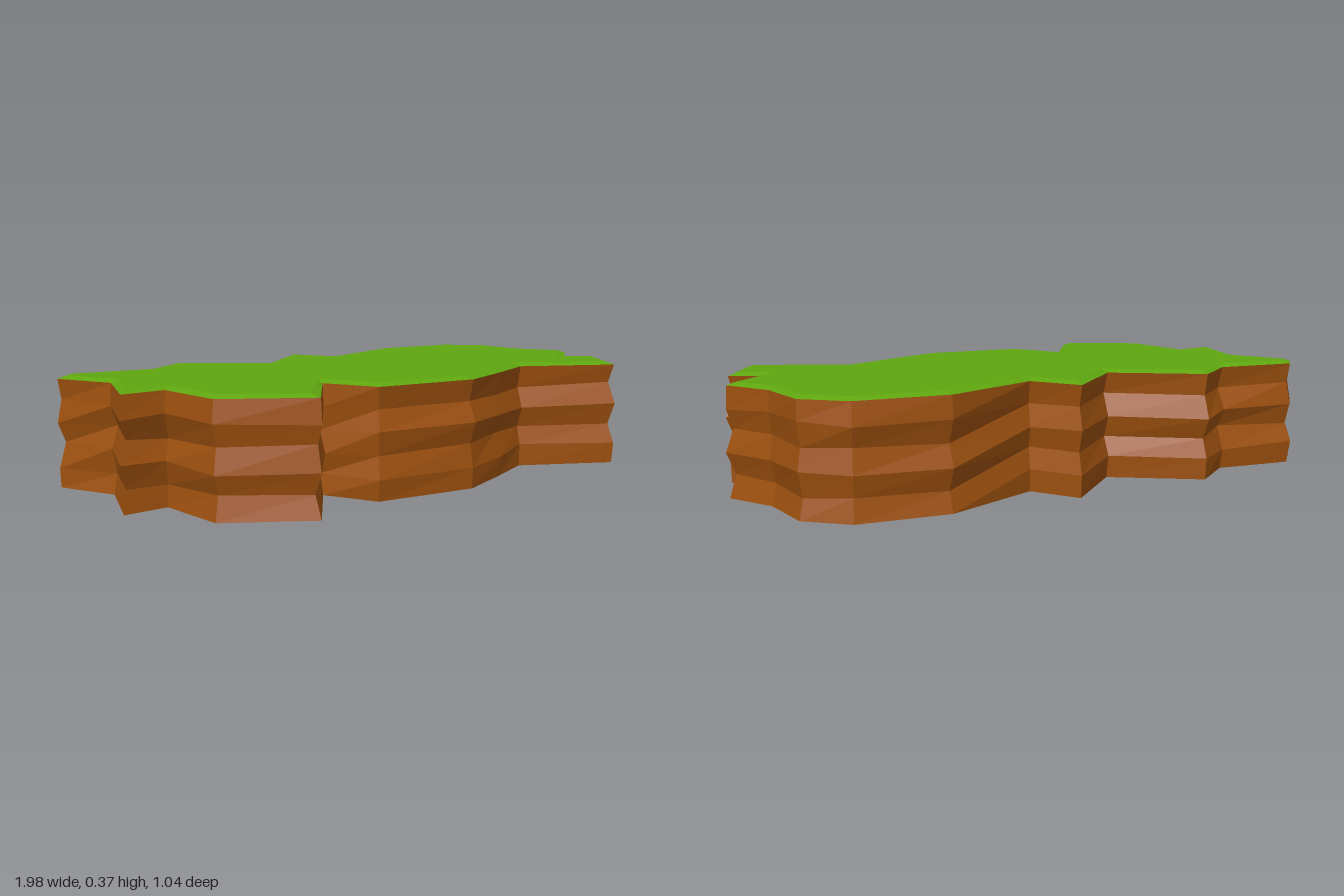
import * as THREE from 'three';

// Outermost outline of the slab as [x, z], clockwise seen from above
const OUTLINE = [
  [-0.91, -0.45], [-0.63, -0.41], [-0.46, -0.53], [-0.20, -0.33], [0.05, -0.54],
  [0.14, -0.375], [0.48, -0.505], [0.79, -0.47], [0.915, -0.345], [0.92, -0.13],
  [1.0, 0.045], [0.83, 0.19], [0.93, 0.245], [0.78, 0.475], [0.47, 0.305],
  [0.285, 0.39], [0.07, 0.48], [-0.30, 0.44], [-0.37, 0.265], [-0.57, 0.53],
  [-0.84, 0.355], [-0.845, 0.10], [-1.0, 0.11], [-0.89, -0.175], [-0.975, -0.385],
].map(([x, z]) => new THREE.Vector2(x, z));

const RIM_Y = 0.355, TOP_Y = 0.365, BANDS = 5;

// Mitred outward direction at each outline corner
const MITRES = OUTLINE.map((p, i) => {
  const n = OUTLINE.length;
  const normal = (a, b) => new THREE.Vector2(b.y - a.y, a.x - b.x).normalize();
  const n1 = normal(OUTLINE[(i + n - 1) % n], p);
  const n2 = normal(p, OUTLINE[(i + 1) % n]);
  const m = n1.clone().add(n2).normalize();
  return m.multiplyScalar(Math.min(1 / m.dot(n1), 1.5));
});

function makeRing(offset, height) {
  return OUTLINE.map((p, i) => {
    const q = p.clone().addScaledVector(MITRES[i], offset(i));
    return new THREE.Vector3(q.x, height(i), q.y);
  });
}

// Faceted wall joining a stack of rings, lowest first
function wall(rings) {
  const pos = [];
  for (let r = 0; r < rings.length - 1; r++) {
    for (let i = 0; i < OUTLINE.length; i++) {
      const j = (i + 1) % OUTLINE.length;
      const a0 = rings[r][i], b0 = rings[r][j], a1 = rings[r + 1][i], b1 = rings[r + 1][j];
      for (const v of [b0, a0, a1, b0, a1, b1]) pos.push(v.x, v.y, v.z);
    }
  }
  const g = new THREE.BufferGeometry();
  g.setAttribute('position', new THREE.Float32BufferAttribute(pos, 3));
  g.computeVertexNormals();
  return g;
}

// Flat cap over a ring, facing up (dir = 1) or down (dir = -1)
function cap(ring, dir) {
  const shape = new THREE.Shape(ring.map((v) => new THREE.Vector2(v.x, -dir * v.z)));
  return new THREE.ShapeGeometry(shape).rotateX(-dir * Math.PI / 2).translate(0, ring[0].y, 0);
}

export function createModel() {
  const group = new THREE.Group();
  const soil = new THREE.MeshStandardMaterial({ name: 'soil brown', color: 0xa0520f });
  const grass = new THREE.MeshStandardMaterial({ name: 'grass green', color: 0x5ea60f });
  soil.flatShading = grass.flatShading = true;

  const add = (name, geometry, material) => {
    const mesh = new THREE.Mesh(geometry, material);
    mesh.name = name;
    group.add(mesh);
  };

  let seed = 7;
  const random = () => {
    seed = (seed * 16807) % 2147483647;
    return seed / 2147483647;
  };

  // Uneven rock layers that step in and out up the cliff
  const rings = [];
  for (let r = 0; r <= BANDS; r++) {
    const end = r === 0 || r === BANDS;
    rings.push(makeRing(
      (i) => (end ? -0.014 : ((r + Math.floor(i / 6)) % 2 ? -0.003 : -0.022) - 0.01 * random()),
      () => RIM_Y * r / BANDS + (end ? 0 : 0.016 * (random() - 0.5)),
    ));
  }
  const rim = rings[BANDS];
  const topRing = makeRing(() => -0.04, () => TOP_Y);

  add('cliffWall', wall(rings), soil);
  add('underside', cap(rings[0], -1), soil);
  add('grassEdge', wall([rim, topRing]), grass);
  add('grassTop', cap(topRing, 1), grass);
  return group;
}
